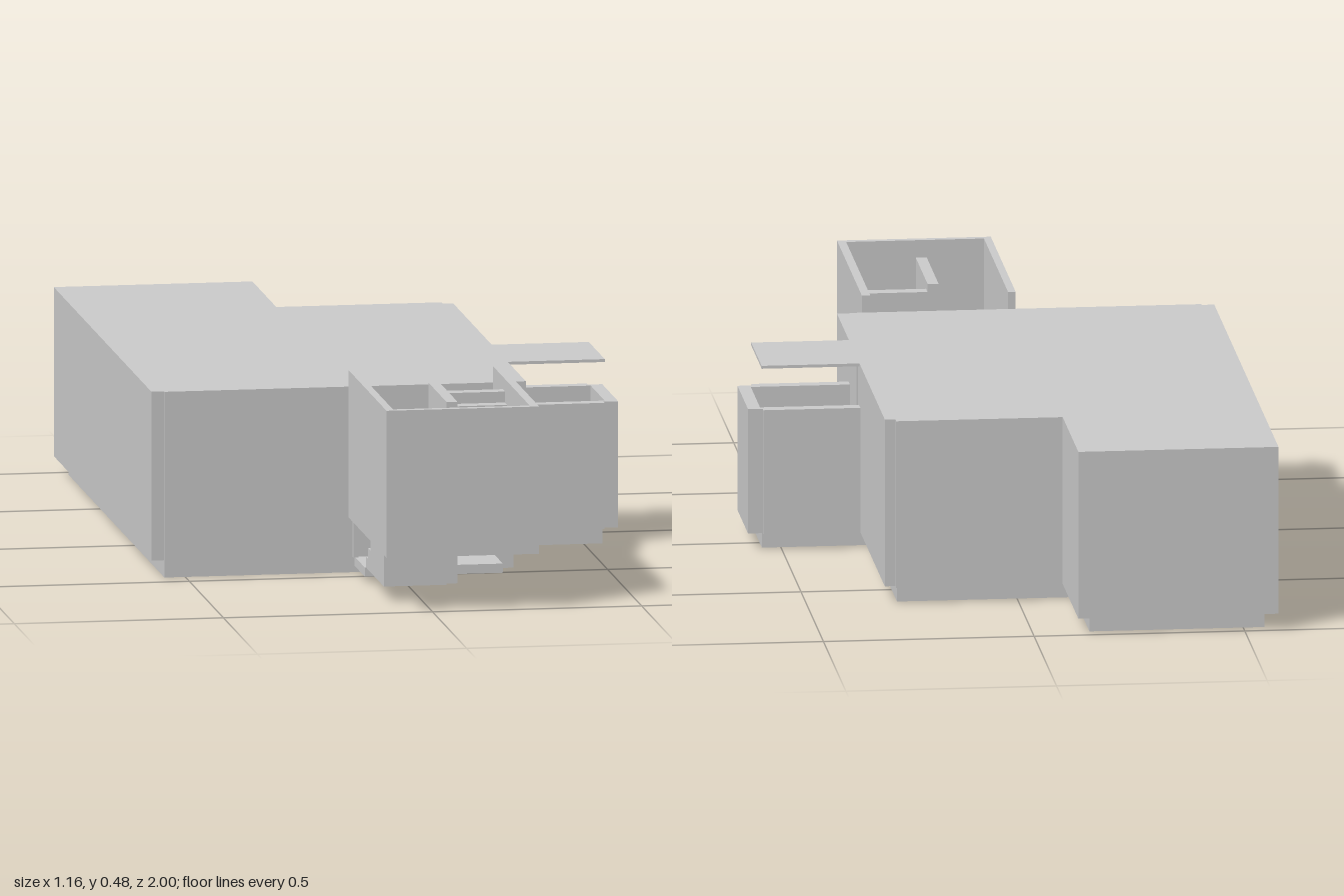
import * as THREE from 'three';

const material = new THREE.MeshStandardMaterial({ color: 0xcccccc, side: THREE.DoubleSide });

export function createModel() {
  const model = new THREE.Group();

  const add = (name, geometry) => {
    const mesh = new THREE.Mesh(geometry, material);
    mesh.name = name;
    model.add(mesh);
    return mesh;
  };

  // Box given by its extents along each axis
  const block = (name, x0, x1, y0, y1, z0, z1) =>
    add(name, new THREE.BoxGeometry(x1 - x0, y1 - y0, z1 - z0))
      .position.set((x0 + x1) / 2, (y0 + y1) / 2, (z0 + z1) / 2);

  // Floor-plan outline of [x, z] corners raised from y0 to y1
  const plan = (name, points, y0, y1) => {
    const shape = new THREE.Shape(points.map(([x, z]) => new THREE.Vector2(x, -z)));
    const geometry = new THREE.ExtrudeGeometry(shape, { depth: y1 - y0, bevelEnabled: false });
    geometry.rotateX(-Math.PI / 2).translate(0, y0, 0);
    return add(name, geometry);
  };

  // Plinth, set back below the walls
  plan('plinth', [
    [-0.55, 0.44], [0.285, 0.44], [0.285, 0.15], [0.545, 0.15], [0.545, -0.05], [0.285, -0.05],
    [0.285, -0.62], [-0.135, -0.62], [-0.135, -0.965], [-0.55, -0.965],
  ], 0, 0.04);

  // Main building with an open recess at the front left corner
  const shell = [
    [0.315, -0.63], [0.29, -0.63], [0.29, -0.65], [-0.105, -0.65], [-0.105, -1], [-0.58, -1],
    [-0.58, 0.432], [-0.55, 0.432], [-0.55, 0.44], [0.285, 0.44],
  ];
  const fullOutline = [...shell, [0.285, 0.435], [0.315, 0.435]];
  const recessedOutline = [...shell, [0.285, 0.28], [0.315, 0.28]];
  plan('baseCourse', fullOutline, 0.04, 0.046);
  plan('mainWalls', recessedOutline, 0.046, 0.355);
  plan('upperWallsAndRoof', fullOutline, 0.355, 0.445);

  // Side entrance: open-topped screen walls, floor, door and thin canopy
  plan('sideEntranceWalls', [
    [0.315, 0.18], [0.545, 0.18], [0.545, 0.165], [0.58, 0.165], [0.58, -0.07], [0.545, -0.07],
    [0.545, -0.085], [0.315, -0.085], [0.315, -0.055], [0.55, -0.055], [0.55, 0.15], [0.315, 0.15],
  ], 0.04, 0.342);
  block('sideEntranceFloor', 0.31, 0.56, 0.04, 0.055, -0.07, 0.165);
  block('sideDoor', 0.31, 0.318, 0.05, 0.438, -0.03, 0.095);
  block('sideCanopy', 0.31, 0.547, 0.438, 0.445, -0.065, 0.17);

  // Stair tower: three walls open at the top and towards the building
  plan('stairTowerWalls', [
    [-0.11, 0.445], [-0.11, 1], [0.255, 1], [0.255, 0.445],
    [0.235, 0.445], [0.235, 0.983], [-0.092, 0.983], [-0.092, 0.445],
  ], 0.132, 0.485);
  block('stairDivider', 0.058, 0.084, 0.04, 0.475, 0.585, 0.85);
  block('lowerLanding', -0.095, 0.235, 0.015, 0.037, 0.44, 0.588);
  block('middleLanding', -0.094, 0.237, 0.225, 0.245, 0.85, 0.985);

  // Flights: stepped profile in z and y, extruded across the width
  const flight = (name, x0, x1, zStart, zEnd, yStart, yEnd, yBase) => {
    const steps = 8;
    const at = (a, b, i) => a + (b - a) * i / steps;
    const shape = new THREE.Shape();
    shape.moveTo(-zStart, yBase);
    for (let i = 0; i < steps; i++) {
      shape.lineTo(-at(zStart, zEnd, i), at(yStart, yEnd, i + 1));
      shape.lineTo(-at(zStart, zEnd, i + 1), at(yStart, yEnd, i + 1));
    }
    shape.lineTo(-zEnd, yBase);
    const geometry = new THREE.ExtrudeGeometry(shape, { depth: x1 - x0, bevelEnabled: false });
    geometry.rotateY(Math.PI / 2).translate(x0, 0, 0);
    add(name, geometry);
  };
  flight('lowerFlight', -0.092, 0.058, 0.588, 0.85, 0.037, 0.245, 0.037);
  flight('upperFlight', 0.084, 0.236, 0.85, 0.588, 0.245, 0.455, 0.225);

  // Posts either side of the doorway under the stair tower
  for (const x of [-0.1, 0.23]) block('doorPost', x, x + 0.012, 0.037, 0.21, 0.435, 0.45);

  return model;
}
